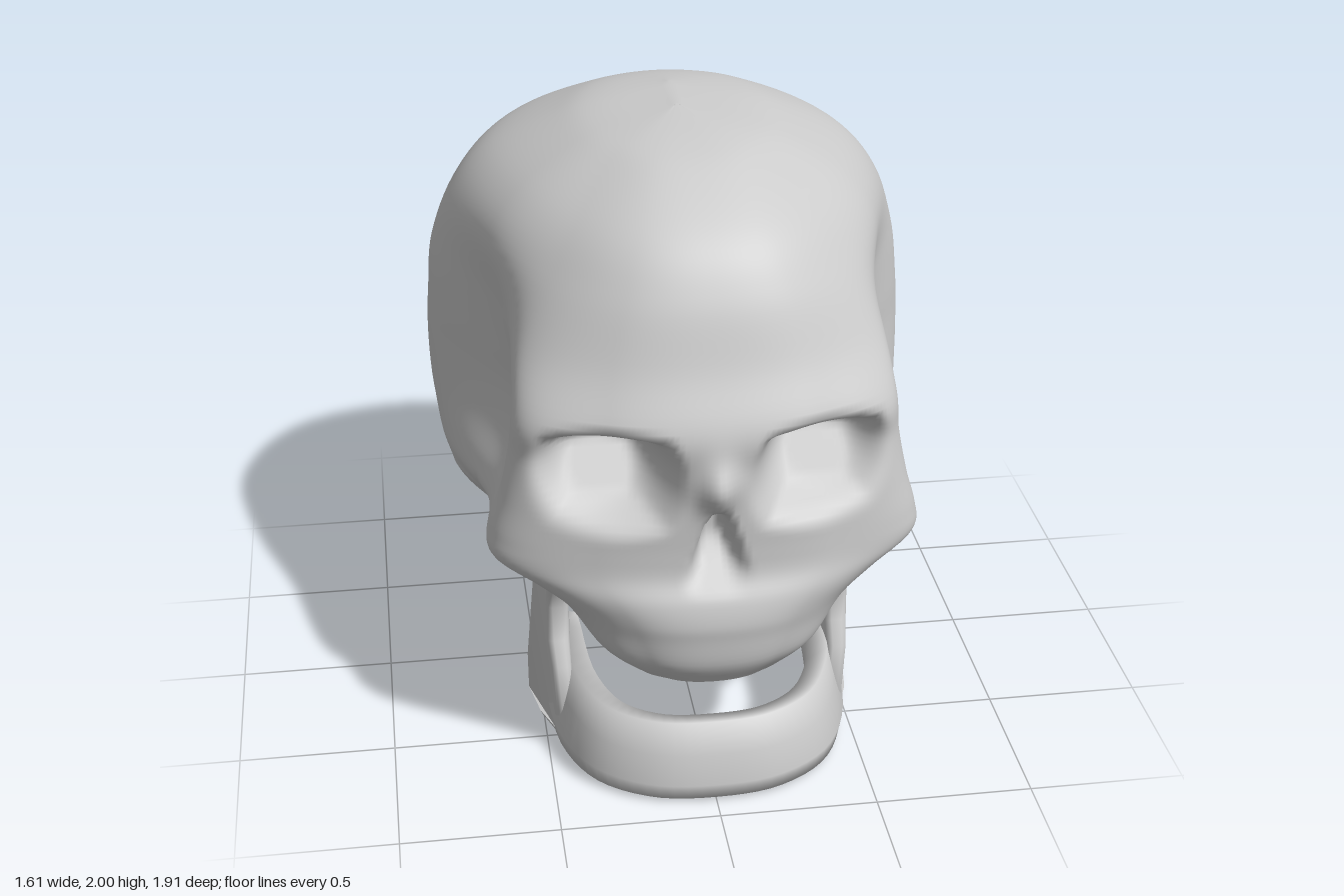
import * as THREE from 'three';
import { mergeVertices, toCreasedNormals } from 'three/addons/utils/BufferGeometryUtils.js';

const material = new THREE.MeshStandardMaterial({ color: 0xcccccc, side: THREE.DoubleSide });
const { smoothstep, clamp, lerp } = THREE.MathUtils;

// Catmull-Rom through evenly indexed values; get(i) returns the i-th value
function spline(get, t) {
  const i = Math.floor(t), f = t - i;
  const [a, b, c, d] = [get(i - 1), get(i), get(i + 1), get(i + 2)];
  return b + 0.5 * f * (c - a + f * (2 * a - 5 * b + 4 * c - d + f * (3 * (b - c) + d - a)));
}

// Surface over a rows x cols grid of points
function gridGeometry(rows, cols, point) {
  const positions = [], index = [];
  for (let i = 0; i <= rows; i++) {
    for (let j = 0; j <= cols; j++) positions.push(...point(i / rows, j / cols));
  }
  for (let i = 0; i < rows; i++) {
    for (let j = 0; j < cols; j++) {
      const a = i * (cols + 1) + j, b = a + cols + 1;
      index.push(a, a + 1, b + 1, a, b + 1, b);
    }
  }
  const geometry = new THREE.BufferGeometry();
  geometry.setAttribute('position', new THREE.Float32BufferAttribute(positions, 3));
  geometry.setIndex(index);
  const merged = mergeVertices(geometry, 1e-4);
  merged.computeVertexNormals();
  return merged;
}

// Horizontal slices: y, front z, face half-width, face corner z, temple half-width, widest half-width, back z
const levels = [
  [0.42, 0.87, 0.25, 0.72, 0.33, 0.66, -0.24],
  [0.50, 0.92, 0.34, 0.74, 0.39, 0.67, -0.24],
  [0.60, 0.935, 0.41, 0.72, 0.45, 0.69, -0.26],
  [0.66, 0.94, 0.46, 0.71, 0.48, 0.72, -0.54],
  [0.73, 0.925, 0.55, 0.70, 0.58, 0.745, -0.73],
  [0.80, 0.89, 0.65, 0.68, 0.65, 0.77, -0.84],
  [0.88, 0.885, 0.65, 0.68, 0.64, 0.785, -0.885],
  [1.00, 0.89, 0.62, 0.68, 0.59, 0.80, -0.918],
  [1.15, 0.89, 0.59, 0.68, 0.565, 0.803, -0.94],
  [1.28, 0.90, 0.575, 0.69, 0.565, 0.795, -0.952],
  [1.45, 0.825, 0.54, 0.59, 0.59, 0.775, -0.952],
  [1.65, 0.75, 0.45, 0.53, 0.61, 0.70, -0.885],
  [1.80, 0.64, 0.36, 0.45, 0.52, 0.58, -0.77],
  [1.92, 0.44, 0.25, 0.29, 0.34, 0.37, -0.54],
  [1.97, 0.26, 0.15, 0.18, 0.20, 0.23, -0.39],
  [2.00, 0.00, 0.00, 0.00, 0.00, 0.00, -0.20],
];
const top = levels.length - 1;

// Lower edge around the outline: upper jaw, cheek arch, mastoid spike, nape
const lowerEdge = [
  [0, 0.41], [1.6, 0.42], [2.5, 0.46], [2.56, 0.6], [2.75, 0.77], [2.95, 0.8], [3.24, 0.79],
  [3.35, 0.55], [3.6, 0.63], [3.95, 0.72], [4.2, 0.61], [6, 0.6],
];
function piecewise(table, x) {
  const k = clamp(table.findIndex((p) => p[0] >= x), 1, table.length - 1);
  const [a, b] = [table[k - 1], table[k]];
  return lerp(a[1], b[1], (x - a[0]) / (b[0] - a[0]));
}
const heightToLevel = levels.map((l, i) => [l[0], i]);

// Sockets, nasal ridge and nasal opening pressed into the face
function sculptFace(x, y, z) {
  const X = Math.abs(x);
  const reach = Math.hypot((X - 0.33) / 0.235, (y - 1.115) / 0.18) * 0.5
    + 0.5 * Math.max(Math.abs(X - 0.33) / 0.235, Math.abs(y - 1.115) / 0.18);
  const floor = 0.8 - 0.18 * clamp((y - 0.95) / 0.27, 0, 1);
  z = lerp(z, Math.min(z, floor), 1 - smoothstep(reach, 0.4, 1.05));
  z += 0.065 * Math.exp(-((x / 0.06) ** 2) - ((y - 1.12) / 0.08) ** 2);
  const half = 0.025 + 0.075 * clamp((1.02 - y) / 0.22, 0, 1);
  const opening = smoothstep(y, 0.74, 0.92) * (1 - smoothstep(y, 0.98, 1.04));
  return z - 0.11 * opening * (1 - smoothstep(X / half, 0.4, 1.15));
}

function skullPoint(v, u) {
  const s = (u * 2 - 1) * 6, side = Math.sign(s), a = Math.abs(s);
  // the lowest 30% of the rows follow the lower edge, the rest are level
  const edge = piecewise(heightToLevel, piecewise(lowerEdge, a));
  const t = v < 0.3 ? lerp(edge, 5.5, v / 0.3) : lerp(5.5, top, (v - 0.3) / 0.7);
  const [y, zf, wf, zc, wt, wm, zb] = levels[0].map((_, k) => spline((i) => levels[clamp(i, 0, top)][k], t));
  const length = zf - zb;
  // half outline from the middle of the face to the middle of the back
  const outline = [
    [0, zf], [0.55 * wf, zf - 0.2 * (zf - zc)], [wf, zc],
    [wt, Math.min(0.3, zb + 0.66 * length)], [wm, Math.min(-0.16, zb + 0.34 * length)],
    [0.68 * wm, zb + 0.09 * length], [0, zb],
  ];
  const mirrorIndex = (i) => (i < 0 ? -i : i > 6 ? 12 - i : i);
  const x = side * spline((i) => (i < 0 || i > 6 ? -1 : 1) * outline[mirrorIndex(i)][0], a);
  const z = spline((i) => outline[mirrorIndex(i)][1], a);
  return [x, y, a < 2.4 ? sculptFace(x, y, z) : z];
}

// Horseshoe body of the lower jaw
function jawBodyGeometry() {
  const half = [[0.2, 0.905], [0.37, 0.8], [0.465, 0.62], [0.5, 0.32]];
  const path = new THREE.CatmullRomCurve3([
    ...half.map(([x, z]) => new THREE.Vector3(-x, 0, z)).reverse(),
    new THREE.Vector3(0, 0, 0.93),
    ...half.map(([x, z]) => new THREE.Vector3(x, 0, z)),
  ]);
  // inward offset and relative height, outer side first
  const section = [[0.06, 1], [0.03, 0.6], [0, 0.25], [0.01, 0.05], [0.06, 0], [0.1, 0.15], [0.13, 0.6], [0.125, 0.95], [0.06, 1]];
  return gridGeometry(36, 8, (v, u) => {
    const p = path.getPoint(v), d = path.getTangent(v);
    const [inward, h] = section[Math.round(u * 8)];
    const back = Math.abs(v * 2 - 1);
    return [p.x + d.z * inward, lerp(0.025 * back * back, 0.265 + 0.1 * back ** 3, h), p.z - d.x * inward];
  });
}

// Upright rear plate of the lower jaw with its two prongs
function ramusGeometry(side) {
  const profile = [
    [0.25, 0.02], [0.42, 0.03], [0.55, 0.04], [0.58, 0.15], [0.57, 0.31], [0.52, 0.38], [0.505, 0.5], [0.53, 0.58],
    [0.61, 0.68], [0.5, 0.63], [0.42, 0.605], [0.34, 0.64], [0.2, 0.8], [0.145, 0.69], [0.23, 0.55], [0.175, 0.12],
  ];
  const shape = new THREE.Shape(profile.map(([z, y]) => new THREE.Vector2(z, y)));
  const geometry = new THREE.ExtrudeGeometry(shape, {
    depth: 0.05, bevelThickness: 0.025, bevelSize: 0.02, bevelOffset: -0.015, bevelSegments: 2,
  });
  geometry.translate(0, 0, -0.025).rotateY(-Math.PI / 2);
  // thin toward the front, flare at the rear corner, lean inward where it meets the body
  const p = geometry.attributes.position;
  for (let i = 0; i < p.count; i++) {
    const low = 1 - smoothstep(p.getY(i), 0.05, 0.45), front = smoothstep(p.getZ(i), 0.3, 0.6);
    p.setX(i, p.getX(i) * (1 - 0.4 * front) + side * (0.455 + low * lerp(0.035, -0.02, front)));
  }
  return toCreasedNormals(geometry, 0.9);
}

export function createModel() {
  const model = new THREE.Group();
  model.name = 'skull';
  const add = (parent, name, geometry) => {
    const mesh = new THREE.Mesh(geometry, material);
    mesh.name = name;
    parent.add(mesh);
  };
  add(model, 'cranium', gridGeometry(90, 240, skullPoint));

  const jaw = new THREE.Group();
  jaw.name = 'lowerJaw';
  add(jaw, 'jawBody', jawBodyGeometry());
  add(jaw, 'leftRamus', ramusGeometry(1));
  add(jaw, 'rightRamus', ramusGeometry(-1));
  model.add(jaw);
  return model;
}
